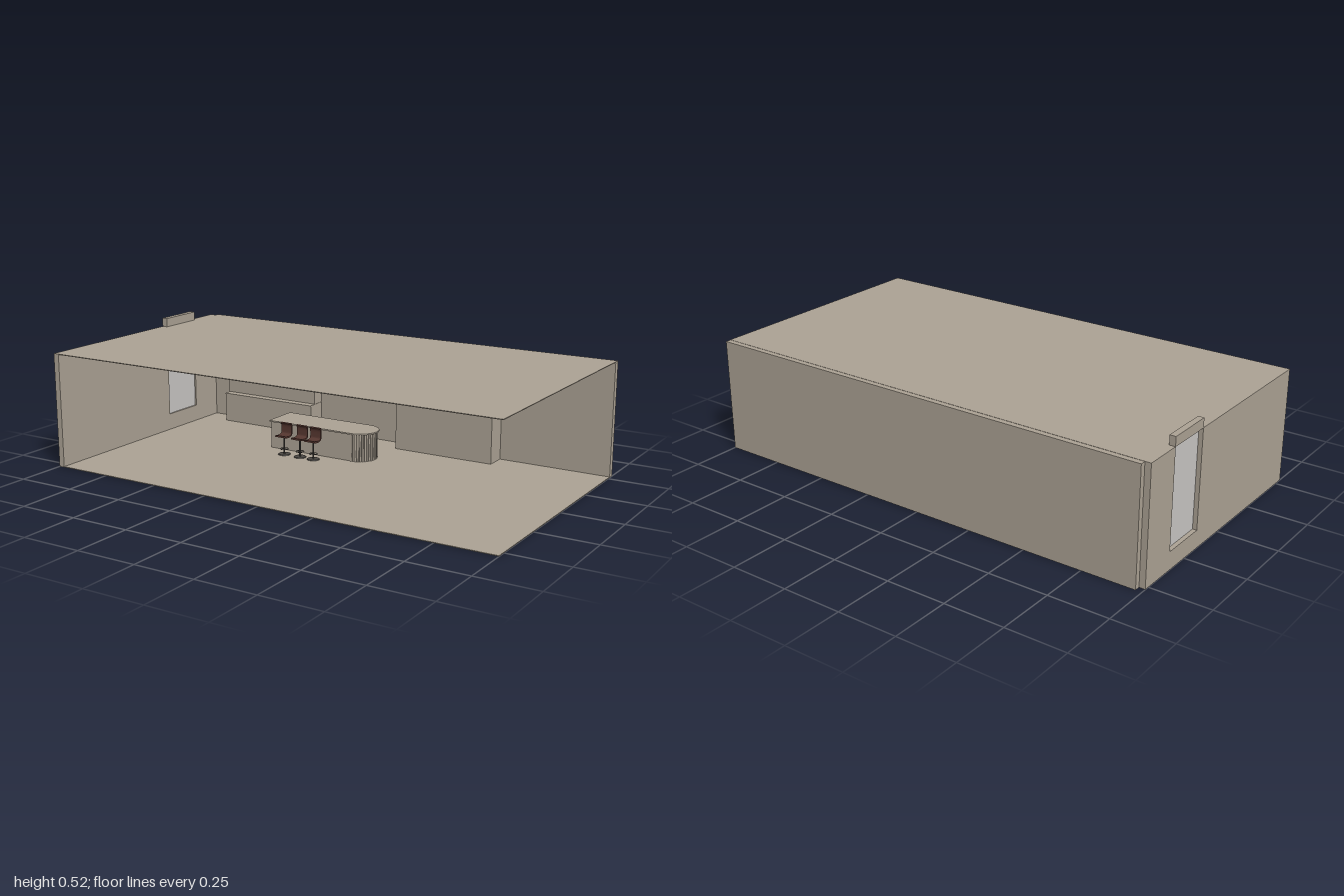
import * as THREE from 'three';

const material = (name, color, extra = {}) => {
  const m = new THREE.MeshStandardMaterial({ color, ...extra });
  m.name = name;
  return m;
};

export function createModel() {
  const plaster = material('plaster', 0xaca294);
  const glass = material('glass', 0xc8c6c4, { side: THREE.DoubleSide });
  const leather = material('brown leather', 0x55362f);
  const metal = material('dark metal', 0x4a4743);
  const root = new THREE.Group();
  root.name = 'room';

  const add = (parent, name, geometry, mat) => {
    const mesh = new THREE.Mesh(geometry, mat);
    mesh.name = name;
    parent.add(mesh);
    return mesh;
  };
  // Box given by its limits on each axis
  const box = (name, x0, x1, y0, y1, z0, z1, mat = plaster) => {
    const mesh = add(root, name, new THREE.BoxGeometry(x1 - x0, y1 - y0, z1 - z0), mat);
    mesh.position.set((x0 + x1) / 2, (y0 + y1) / 2, (z0 + z1) / 2);
    return mesh;
  };
  const shapeOf = (pts) => new THREE.Shape(pts.map(([a, b]) => new THREE.Vector2(a, b)));
  // Profile drawn in (z, y), extruded toward -x
  const sideExtrude = (shape, depth) =>
    new THREE.ExtrudeGeometry(shape, { depth, bevelEnabled: false }).rotateY(-Math.PI / 2);

  // Shell: open at the front and at the +x end
  box('floor', -0.975, 1, 0, 0.003, -0.52, 0.54);
  box('ceiling', -0.976, 1, 0.477, 0.48, -0.52, 0.54);
  box('backWall', -0.975, 1, 0, 0.479, -0.543, -0.516);

  // Left-hand wall with window opening and raised lintel
  const wall = shapeOf([[0.54, 0], [0.54, 0.48], [-0.16, 0.48], [-0.16, 0.518],
    [-0.36, 0.518], [-0.36, 0.48], [-0.52, 0.48], [-0.52, 0]]);
  wall.holes.push(shapeOf([[-0.162, 0.075], [-0.162, 0.479], [-0.358, 0.479], [-0.358, 0.075]]));
  add(root, 'windowWall', sideExtrude(wall, 0.025), plaster).position.x = -0.975;
  const pane = add(root, 'windowPane', new THREE.PlaneGeometry(0.196, 0.404), glass);
  pane.rotation.y = Math.PI / 2;
  pane.position.set(-0.982, 0.277, -0.26);

  // Units along the back wall
  box('tallCabinet', 0.06, 0.515, 0, 0.465, -0.516, -0.425);
  box('lowerCabinet', -0.855, -0.38, 0, 0.13, -0.516, -0.43);
  box('worktop', -0.855, -0.38, 0.13, 0.135, -0.516, -0.425);
  box('upperCabinet', -0.855, -0.38, 0.136, 0.467, -0.516, -0.46);
  box('wallPanel', -0.32, -0.19, 0.252, 0.37, -0.516, -0.51);

  // Bar counter with a rounded, fluted end
  const bar = new THREE.Group();
  bar.name = 'barCounter';
  root.add(bar);
  const zc = -0.23;
  const barOutline = (x0, x1, r) => {
    const s = new THREE.Shape();
    s.moveTo(x0, -r);
    s.lineTo(x1, -r);
    s.absarc(x1, 0, r, -Math.PI / 2, Math.PI / 2, false);
    s.lineTo(x0, r);
    s.closePath();
    return s;
  };
  const slab = (name, shape, y, h) => {
    const g = new THREE.ExtrudeGeometry(shape, { depth: h, bevelEnabled: false, curveSegments: 20 });
    add(bar, name, g.rotateX(-Math.PI / 2), plaster).position.set(0, y, zc);
  };
  slab('barBody', barOutline(-0.41, -0.006, 0.072), 0, 0.121);
  slab('barTop', barOutline(-0.415, -0.004, 0.081), 0.12, 0.006);
  const flute = new THREE.CylinderGeometry(0.0045, 0.0045, 0.119, 8);
  for (let i = 0; i <= 22; i++) {
    const a = -Math.PI / 2 + (i / 22) * Math.PI;
    add(bar, 'flute', flute, plaster)
      .position.set(-0.006 + 0.072 * Math.cos(a), 0.0605, zc + 0.072 * Math.sin(a));
  }

  // Bar stools: curved one-piece seat and back on a pedestal
  const curve = new THREE.CatmullRomCurve3([[0.03, 0.084], [0.012, 0.081], [-0.01, 0.082],
    [-0.019, 0.088], [-0.021, 0.105], [-0.02, 0.125], [-0.015, 0.135]]
    .map(([z, y]) => new THREE.Vector3(z, y, 0)));
  const upper = [], lower = [];
  for (let i = 0; i <= 20; i++) {
    const p = curve.getPoint(i / 20), t = curve.getTangent(i / 20);
    upper.push([p.x - t.y * 0.0035, p.y + t.x * 0.0035]);
    lower.unshift([p.x + t.y * 0.0035, p.y - t.x * 0.0035]);
  }
  const seat = sideExtrude(shapeOf([...upper, ...lower]), 0.052).translate(0.026, 0, 0);
  const pole = new THREE.CylinderGeometry(0.0035, 0.0035, 0.08, 12);
  const base = new THREE.CylinderGeometry(0.025, 0.027, 0.003, 24);
  const ring = new THREE.TorusGeometry(0.017, 0.0015, 6, 24).rotateX(Math.PI / 2);
  const bracket = new THREE.BoxGeometry(0.034, 0.002, 0.003);
  for (const x of [-0.302, -0.222, -0.155]) {
    const stool = new THREE.Group();
    stool.name = 'barStool';
    stool.position.set(x, 0.003, -0.097);
    root.add(stool);
    add(stool, 'seatAndBack', seat, leather);
    add(stool, 'pole', pole, metal).position.y = 0.04;
    add(stool, 'base', base, metal).position.y = 0.0015;
    add(stool, 'footRing', ring, metal).position.y = 0.024;
    add(stool, 'footBracket', bracket, metal).position.y = 0.024;
  }
  return root;
}
